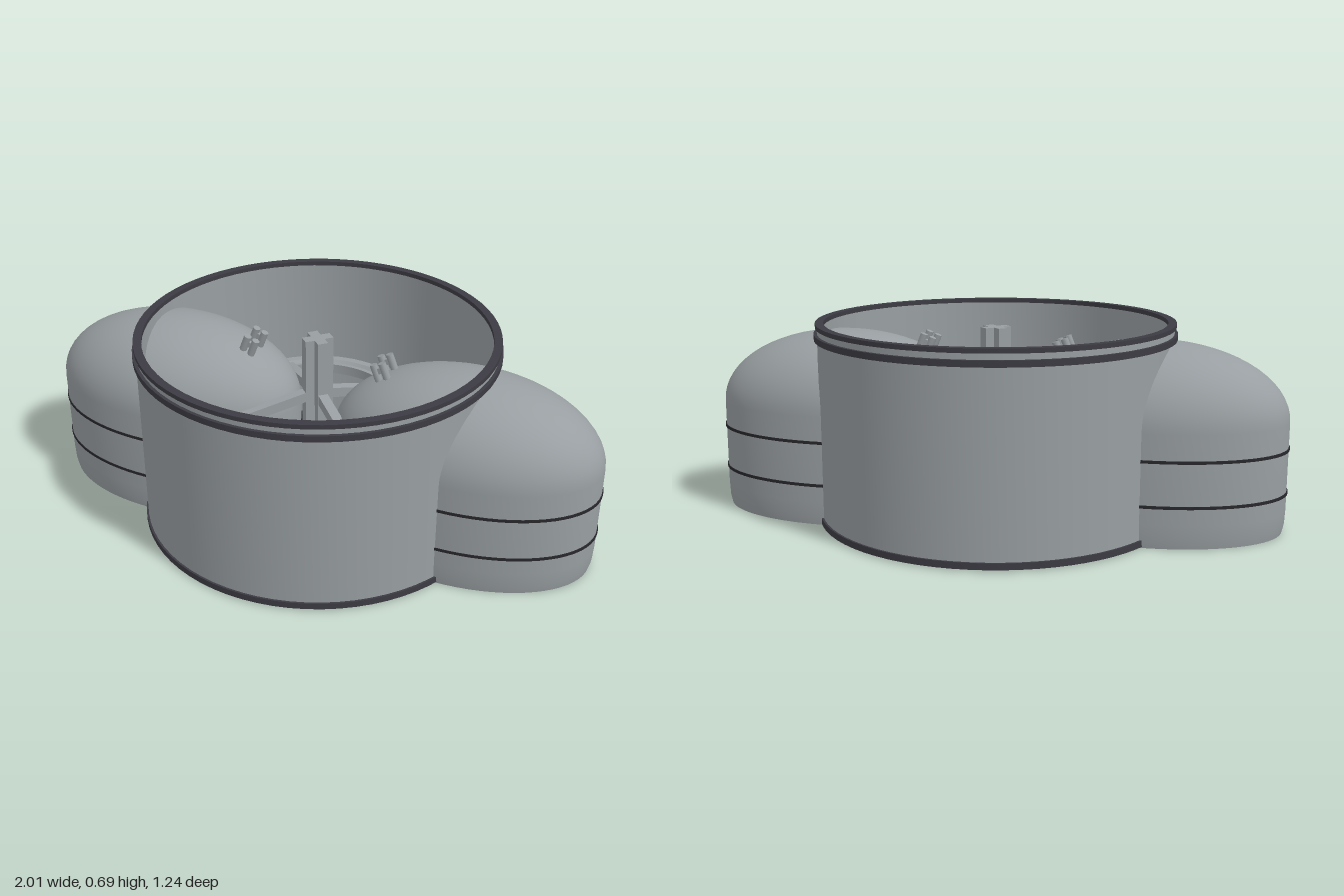
import * as THREE from 'three';
import { toCreasedNormals } from 'three/addons/utils/BufferGeometryUtils.js';

const mat = (name, color) => Object.assign(new THREE.MeshStandardMaterial({ color }), { name });

// Revolved profile, listed counter-clockwise (up the outside, down the inside)
function revolve(points, sx = 1, sz = 1) {
  const g = new THREE.LatheGeometry(points.map(([r, y]) => new THREE.Vector2(r, y)), 72);
  g.scale(sx, 1, sz);
  return toCreasedNormals(g, 0.6);
}

// Closed ring with a rectangular section
const ring = (r0, r1, y0, y1, sx, sz) =>
  revolve([[r0, y0], [r1, y0], [r1, y1], [r0, y1], [r0, y0]], sx, sz);

export function createModel() {
  const model = new THREE.Group();
  const grey = mat('metalGrey', 0x989ea1);
  const dark = mat('darkGrey', 0x3c3b43);
  const black = mat('trimBlack', 0x28282c);

  const add = (parent, name, geometry, material) => {
    const mesh = new THREE.Mesh(geometry, material);
    mesh.name = name;
    parent.add(mesh);
    return mesh;
  };

  // Open drum with a floor that is pierced in the middle
  add(model, 'drumShell', revolve([
    [0.11, 0.015], [0.61, 0.015], [0.61, 0.68], [0.595, 0.68],
    [0.595, 0.03], [0.11, 0.03], [0.11, 0.015],
  ]), grey);
  add(model, 'floorPlate', ring(0.18, 0.594, 0.03, 0.038), dark);
  add(model, 'baseBand', ring(0.585, 0.617, 0.004, 0.026), dark);
  add(model, 'upperBand', ring(0.6, 0.621, 0.634, 0.655), dark);
  add(model, 'rimBand', ring(0.588, 0.616, 0.675, 0.69), dark);
  add(model, 'floorCollar', revolve([
    [0.11, 0.01], [0.18, 0.01], [0.18, 0.05], [0.11, 0.06], [0.11, 0.01],
  ]), grey);

  // Domed elliptical pods on both sides
  const RX = 0.46, RZ = 0.285, DOME = 0.38, RISE = 0.26;
  const podProfile = [[0.98, 0], [0.995, 0.03], [1, 0.08], [1, DOME]];
  for (let i = 1; i <= 16; i++) {
    const a = (i / 16) * Math.PI / 2;
    podProfile.push([i === 16 ? 0 : Math.cos(a), DOME + RISE * Math.sin(a)]);
  }
  const podSkin = revolve(podProfile, RX, RZ);
  const podBase = revolve([[0, 0], [0.98, 0]], RX, RZ);
  const podBand = ring(0.98, 1.008, -0.005, 0.005, RX, RZ);

  for (const side of [-1, 1]) {
    const pod = new THREE.Group();
    pod.name = side > 0 ? 'leftPod' : 'rightPod';
    pod.position.x = side * 0.54;
    model.add(pod);
    add(pod, 'podSkin', podSkin, grey);
    add(pod, 'podBase', podBase, dark);
    for (const y of [0.14, 0.29]) add(pod, 'podBand', podBand, black).position.y = y;

    // Pair of small lugs standing on the inner slope of the dome
    for (const z of [-0.035, 0.035]) {
      const lug = new THREE.Group();
      lug.name = 'lug';
      lug.position.set(-side * 0.29, 0.58, z);
      lug.rotation.z = side * 0.37;
      pod.add(lug);
      for (const x of [-0.016, 0.016]) {
        add(lug, 'lugPin', new THREE.CylinderGeometry(0.013, 0.013, 0.07, 10), grey)
          .position.set(x, 0.02, 0);
      }
      add(lug, 'lugBridge', new THREE.BoxGeometry(0.03, 0.02, 0.014), grey).position.y = 0.03;
    }
  }

  // Raised carrier ring with a stepped top
  add(model, 'carrierRing', revolve([
    [0.265, 0.39], [0.33, 0.39], [0.33, 0.425], [0.305, 0.425],
    [0.295, 0.415], [0.28, 0.415], [0.265, 0.425], [0.265, 0.39],
  ]), grey);

  // Four sloping spokes joining the ring to the post
  for (let i = 0; i < 4; i++) {
    const pivot = new THREE.Group();
    pivot.name = 'spoke';
    pivot.rotation.y = Math.PI / 4 + i * Math.PI / 2;
    model.add(pivot);
    const bar = add(pivot, 'spokeBar', new THREE.BoxGeometry(0.29, 0.035, 0.034), grey);
    bar.position.set(0.145, 0.435, 0);
    bar.rotation.z = -0.18;
  }

  // Cross-shaped centre post and its foot
  for (const turn of [1, -1]) {
    const fin = add(model, 'postFin', new THREE.BoxGeometry(0.1, 0.64, 0.036), grey);
    fin.position.y = 0.345;
    fin.rotation.y = turn * Math.PI / 4;
  }
  add(model, 'postFoot', new THREE.CylinderGeometry(0.047, 0.047, 0.03, 24), black).position.y = 0.02;

  return model;
}
